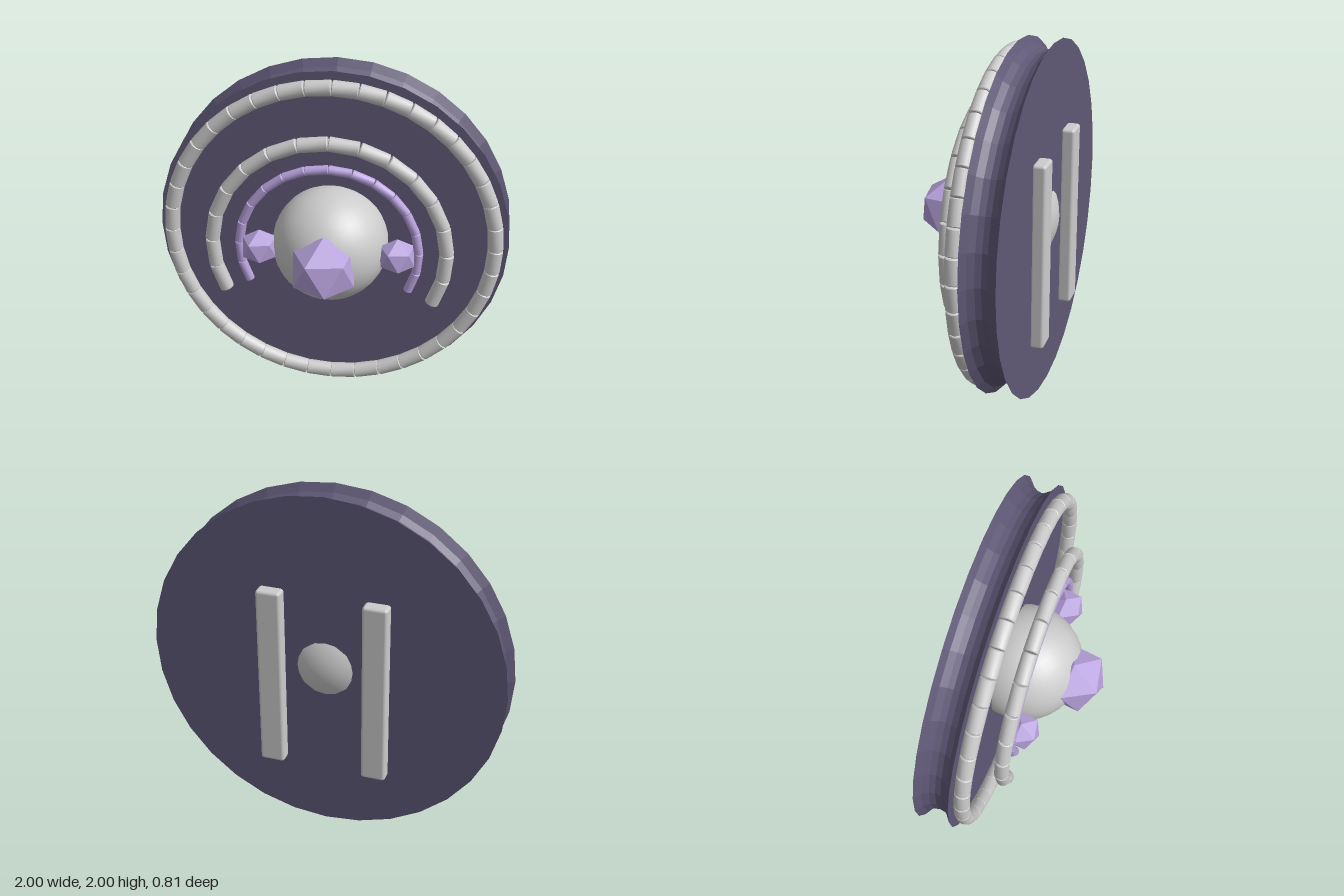
import * as THREE from 'three';
import { toCreasedNormals } from 'three/addons/utils/BufferGeometryUtils.js';
import { RoundedBoxGeometry } from 'three/addons/geometries/RoundedBoxGeometry.js';

const CENTER_Y = 1;
const grey = new THREE.MeshStandardMaterial({ color: 0xcccccc });
const slate = new THREE.MeshStandardMaterial({ color: 0x5f5876, flatShading: true });
const violet = new THREE.MeshStandardMaterial({ color: 0xb9a3de });
const crystalViolet = new THREE.MeshStandardMaterial({ color: 0xb9a3de, flatShading: true });

function addMesh(parent, name, geometry, material, x = 0, y = 0, z = 0) {
  const mesh = new THREE.Mesh(geometry, material);
  mesh.name = name;
  mesh.position.set(x, y, z);
  parent.add(mesh);
  return mesh;
}

const profile = (pairs) => pairs.map(([r, h]) => new THREE.Vector2(r, h));

// Short cylinder with a narrow bevel at both ends
function segmentGeometry(radius, length) {
  const h = length / 2;
  const b = radius * 0.1;
  const points = profile([[0, -h], [radius - b, -h], [radius, -h + b],
    [radius, h - b], [radius - b, h], [0, h]]);
  return toCreasedNormals(new THREE.LatheGeometry(points, 12), 0.6);
}

// Straight segments laid along an arc that is symmetric about the top
function segmentedArc(name, { radius, tube, sweep, count, z, material }) {
  const arc = new THREE.Group();
  arc.name = name;
  arc.position.set(0, CENTER_Y, z);
  const step = sweep / count;
  const geometry = segmentGeometry(tube, 2 * radius * Math.sin(step / 2) * 0.99);
  const middle = radius * Math.cos(step / 2);
  for (let i = 0; i < count; i++) {
    const a = Math.PI / 2 - sweep / 2 + (i + 0.5) * step;
    const segment = addMesh(arc, name + 'Segment', geometry, material,
      middle * Math.cos(a), middle * Math.sin(a), 0);
    segment.rotation.z = a;
  }
  return arc;
}

// Icosahedron standing on one vertex
function crystalGeometry(radius) {
  return new THREE.IcosahedronGeometry(radius, 0)
    .rotateZ(-Math.atan2(2, 1 + Math.sqrt(5)))
    .rotateY(THREE.MathUtils.degToRad(27));
}

export function createModel() {
  const model = new THREE.Group();
  model.name = 'discOrnament';

  // Disc with a hollowed rim
  const rim = profile([[0, -0.335], [1, -0.335], [0.958, -0.305], [0.935, -0.27],
    [0.928, -0.238], [0.935, -0.205], [0.958, -0.17], [1, -0.14], [0, -0.14]]);
  addMesh(model, 'disc', new THREE.LatheGeometry(rim, 32).rotateX(Math.PI / 2), slate, 0, CENTER_Y, 0);

  // Central ball, breaking through the back of the disc
  addMesh(model, 'centralBall', new THREE.SphereGeometry(0.327, 32, 20), grey, 0, CENTER_Y, -0.05);

  // Full outer ring and the two open arcs
  model.add(segmentedArc('outerRing',
    { radius: 0.925, tube: 0.044, sweep: Math.PI * 2, count: 40, z: -0.09, material: grey }));
  model.add(segmentedArc('middleArc',
    { radius: 0.66, tube: 0.041, sweep: Math.PI * 1.3, count: 16, z: 0.04, material: grey }));
  model.add(segmentedArc('innerArc',
    { radius: 0.505, tube: 0.026, sweep: Math.PI * 1.3, count: 16, z: 0.04, material: violet }));

  // Crystals
  addMesh(model, 'frontCrystal', crystalGeometry(0.195), crystalViolet, 0, CENTER_Y, 0.235);
  for (const [side, s] of [['left', 1], ['right', -1]]) {
    addMesh(model, side + 'Crystal', crystalGeometry(0.11), crystalViolet, s * 0.387, CENTER_Y + 0.005, 0.062);
    // Mounting bars on the back
    addMesh(model, side + 'BackBar', new RoundedBoxGeometry(0.14, 1.07, 0.08, 2, 0.018), grey,
      s * 0.295, 0.915, -0.365);
  }
  return model;
}
